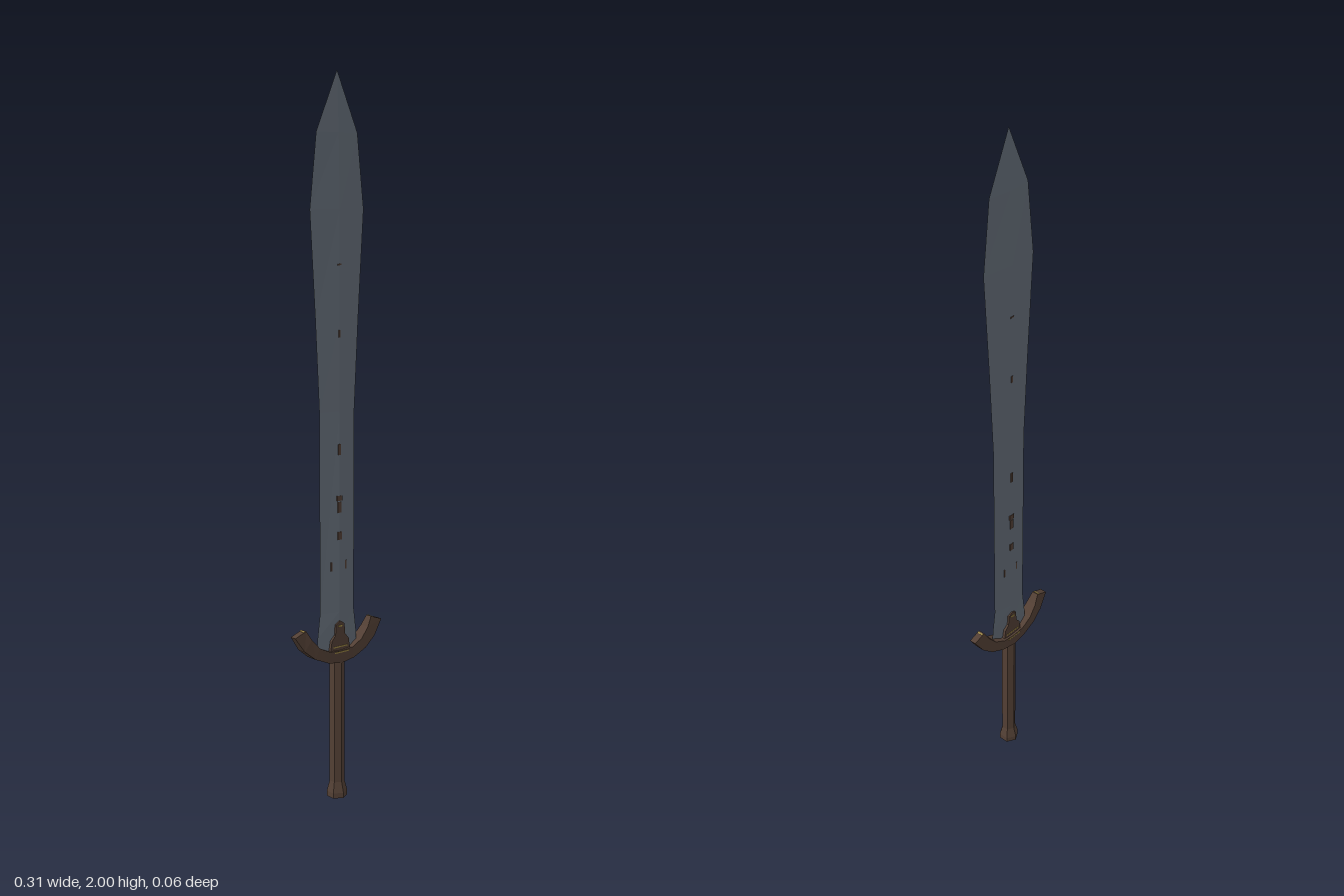
import * as THREE from 'three';

const steel = new THREE.MeshStandardMaterial({ name: 'steel', color: 0x646d78 });
const brown = new THREE.MeshStandardMaterial({ name: 'brown', color: 0x523f34 });
const gold = new THREE.MeshStandardMaterial({ name: 'gold', color: 0xa8924a });

// Flat-shaded closed loft through rings of [x, y, z] points
function loft(rings) {
  const out = [];
  const tri = (...pts) => pts.forEach((p) => out.push(...p));
  const n = rings[0].length;
  for (let i = 0; i < rings.length - 1; i++) {
    const a = rings[i], b = rings[i + 1];
    for (let j = 0; j < n; j++) {
      const k = (j + 1) % n;
      tri(a[j], a[k], b[k]);
      tri(a[j], b[k], b[j]);
    }
  }
  const first = rings[0], last = rings[rings.length - 1];
  for (let j = 1; j < n - 1; j++) {
    tri(first[0], first[j + 1], first[j]);
    tri(last[0], last[j], last[j + 1]);
  }
  const g = new THREE.BufferGeometry();
  g.setAttribute('position', new THREE.Float32BufferAttribute(out, 3));
  g.computeVertexNormals();
  return g;
}

export function createModel() {
  const sword = new THREE.Group();
  sword.name = 'sword';
  const add = (name, geometry, material, x = 0, y = 0, z = 0) => {
    const m = new THREE.Mesh(geometry, material);
    m.name = name;
    m.position.set(x, y, z);
    sword.add(m);
    return m;
  };
  const hex = (top, bottom, h) => new THREE.CylinderGeometry(top, bottom, h, 6).toNonIndexed();
  const flat = (g) => { g.computeVertexNormals(); return g; };

  // Leaf-shaped blade with a diamond section: height, half width, half thickness
  const blade = [
    [0.42, 0.071, 0.012], [0.47, 0.069, 0.012], [0.54, 0.06, 0.012], [1.1, 0.061, 0.0105],
    [1.35, 0.074, 0.0115], [1.64, 0.092, 0.0115], [1.84, 0.07, 0.007], [2, 0, 0],
  ];
  add('blade', loft(blade.map(([y, w, d]) => [[w, y, 0], [0, y, -d], [-w, y, 0], [0, y, d]])), steel);

  // Curved crossguard, tapering to the tips: top x, y, bottom x, y, half depth
  const half = [
    [0, 0.43, 0, 0.395, 0.022], [0.04, 0.433, 0.045, 0.402, 0.021], [0.075, 0.45, 0.09, 0.421, 0.0185],
    [0.1, 0.478, 0.125, 0.449, 0.015], [0.116, 0.505, 0.154, 0.491, 0.01],
  ];
  const mirrored = half.slice(1).reverse().map(([a, b, c, d, z]) => [-a, b, -c, d, z]);
  add('crossguard', loft([...mirrored, ...half].map(([tx, ty, bx, by, z]) =>
    [[tx, ty, z], [bx, by, z], [bx, by, -z], [tx, ty, -z]])), brown);

  // Stepped point rising from the guard over the blade
  const peak = new THREE.Shape([
    [-0.036, 0.42], [0.036, 0.42], [0.03, 0.46], [0.017, 0.475], [0.015, 0.505], [0, 0.515],
    [-0.015, 0.505], [-0.017, 0.475], [-0.03, 0.46],
  ].map(([x, y]) => new THREE.Vector2(x, y)));
  add('guardPeak', new THREE.ExtrudeGeometry(peak, { depth: 0.03, bevelEnabled: false }), brown, 0, 0, -0.015);

  // Six-sided grip and flared pommel
  add('grip', flat(hex(0.021, 0.021, 0.37)), brown, 0, 0.225);
  add('pommelFlare', flat(hex(0.021, 0.029, 0.03)), brown, 0, 0.03);
  add('pommelBase', flat(hex(0.029, 0.029, 0.015)), brown, 0, 0.0075);

  // Small dark marks along the blade ridge: x, y, width, height
  const marks = [
    [0, 0.86, 0.018, 0.014], [0, 0.835, 0.012, 0.03], [0, 0.755, 0.014, 0.022],
    [0, 0.995, 0.008, 0.03], [0, 1.31, 0.006, 0.02], [0, 1.495, 0.012, 0.004],
    [-0.025, 0.67, 0.005, 0.025], [0.025, 0.67, 0.005, 0.025],
  ];
  for (const [x, y, w, h] of marks) {
    const depth = x ? 0.0155 : 0.0245;
    add('bladeMark', new THREE.BoxGeometry(w, h, depth), brown, x, y);
  }

  // Fine gold inlays on both faces of the guard
  for (const side of [-1, 1]) {
    for (const y of [0.427, 0.441]) {
      add('goldLine', new THREE.BoxGeometry(0.05, 0.003, 0.002), gold, 0, y, side * (y < 0.43 ? 0.022 : 0.0155));
    }
    add('goldDot', new THREE.BoxGeometry(0.014, 0.004, 0.002), gold, 0, 0.5, side * 0.0155);
    // Narrow band across each guard tip
    const band = add('tipBand', new THREE.BoxGeometry(0.004, 0.002, 0.019), gold, side * 0.122, 0.503, 0);
    band.rotation.z = -side * 0.35;
  }
  return sword;
}
